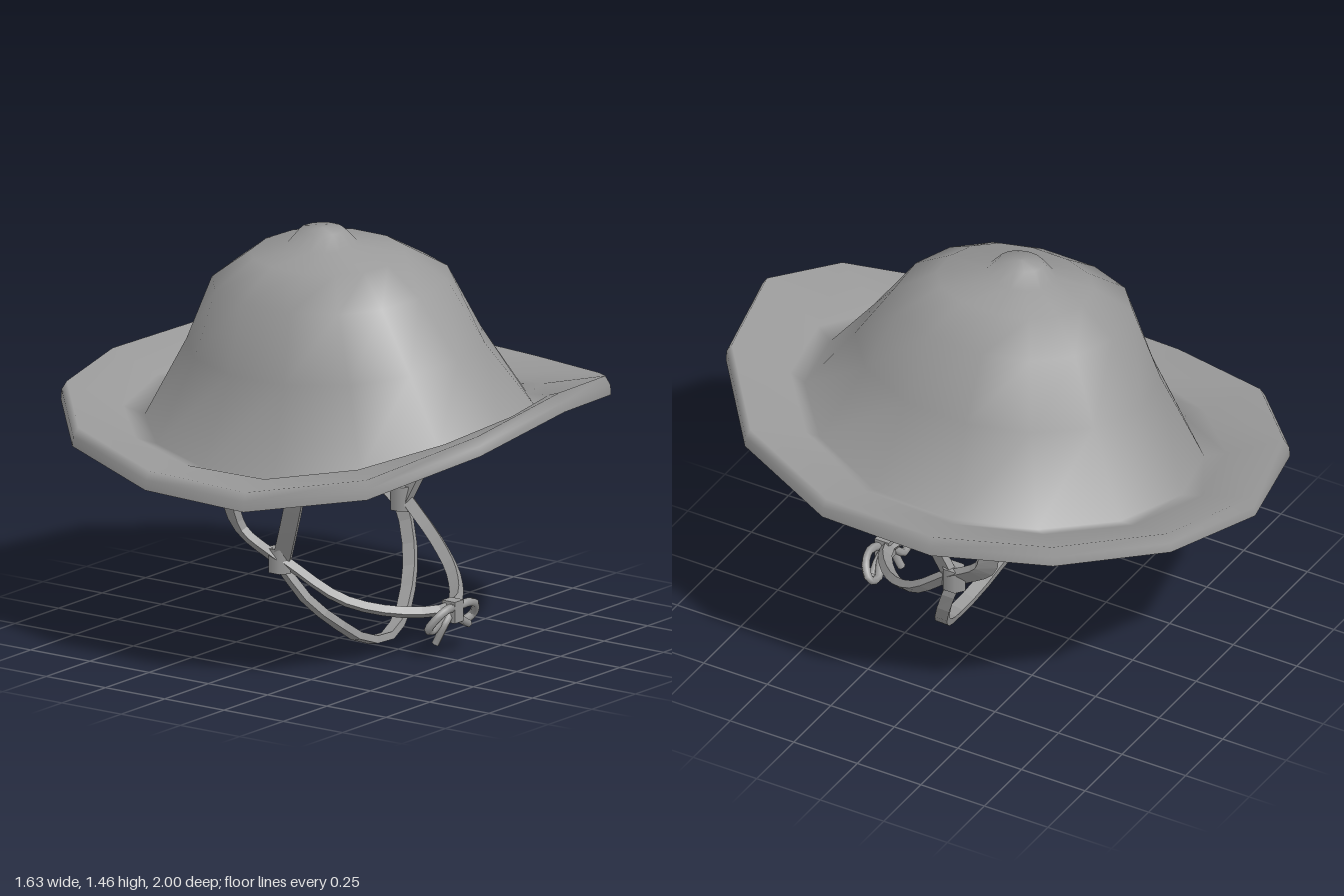
import * as THREE from 'three';

const felt = new THREE.MeshStandardMaterial({ color: 0x999999, side: THREE.DoubleSide });
felt.name = 'greyFelt';

// Brim outline: x, z and height of its top edge
const OUTLINE = [
  [0.03, -1.0, 0.86], [0.41, -0.89, 0.90], [0.69, -0.59, 0.905], [0.815, -0.18, 0.88],
  [0.79, 0.26, 0.87], [0.61, 0.67, 0.91], [0.31, 0.92, 1.0], [-0.06, 0.995, 1.03],
  [-0.40, 0.89, 0.93], [-0.67, 0.61, 0.79], [-0.82, 0.20, 0.715], [-0.80, -0.23, 0.72],
  [-0.66, -0.64, 0.78], [-0.36, -0.91, 0.84],
];
const TILT = 0.09;
const v = (x, y, z) => new THREE.Vector3(x, y, z);

const edge = (drop, scale) => OUTLINE.map(([x, z, y]) => v(x * scale, y - drop, z * scale));

// Tilted elliptical ring, optionally lifted at front and back; power under 1 squares it off
function ring(cx, cz, rx, rz, y, { front = 0, back = 0, power = 1 } = {}) {
  const bend = (c) => Math.sign(c) * Math.abs(c) ** power;
  return OUTLINE.map(([ox, oz]) => {
    const a = Math.atan2(oz, ox / 0.82), s = Math.sin(a);
    const x = cx + rx * bend(Math.cos(a));
    return v(x, y + TILT * x + (s > 0 ? front : back) * s * s, cz + rz * bend(s));
  });
}

// Skin between closed loops of points
function loft(rings) {
  const n = rings[0].length, index = [];
  for (let i = 0; i < rings.length - 1; i++) {
    for (let j = 0; j < n; j++) {
      const a = i * n + j, b = i * n + (j + 1) % n;
      index.push(a, a + n, b, b, a + n, b + n);
    }
  }
  const g = new THREE.BufferGeometry().setFromPoints(rings.flat());
  g.setIndex(index);
  g.computeVertexNormals();
  return g;
}

// Flat band following a path, its face turned away from the head
function band(points, width, thick, steps = 14) {
  const curve = new THREE.CatmullRomCurve3(points.map((p) => v(...p)));
  const rings = [];
  for (let i = 0; i <= steps; i++) {
    const p = curve.getPointAt(i / steps), t = curve.getTangentAt(i / steps);
    const side = t.clone().cross(p.clone().sub(v(0, 0.75, 0))).normalize();
    const out = side.clone().cross(t).normalize();
    const corner = (a, b) => p.clone().addScaledVector(side, a * width / 2).addScaledVector(out, b * thick / 2);
    const loop = [corner(1, 1), corner(-1, 1), corner(-1, -1), corner(1, -1)];
    if (i === 0) rings.push(loop.map(() => p.clone()));
    rings.push(loop);
    if (i === steps) rings.push(loop.map(() => p.clone()));
  }
  const g = loft(rings).toNonIndexed();
  g.computeVertexNormals();
  return g;
}

function cord(points, radius, closed = false) {
  const curve = new THREE.CatmullRomCurve3(points.map((p) => v(...p)), closed);
  return new THREE.TubeGeometry(curve, 18, radius, 6, closed);
}

export function createModel() {
  const model = new THREE.Group();
  model.name = 'hat';
  const add = (name, geometry, parent = model) => {
    const mesh = new THREE.Mesh(geometry, felt);
    mesh.name = name;
    parent.add(mesh);
    return mesh;
  };

  // Rolled rim and brim top running into the crown and its button
  add('crownAndBrim', loft([
    edge(0.065, 1),
    edge(0.03, 0.997),
    edge(0, 0.978),
    ring(0, -0.01, 0.635, 0.775, 0.765, { front: 0.15, back: 0.03 }),
    ring(0, 0.005, 0.58, 0.71, 0.745, { front: 0.13, back: 0.025 }),
    ring(-0.03, 0.01, 0.455, 0.54, 1.05, { front: 0.03 }),
    ring(-0.05, 0, 0.37, 0.405, 1.285, { power: 0.88 }),
    ring(-0.05, -0.01, 0.23, 0.27, 1.375, { power: 0.88 }),
    ring(-0.06, -0.025, 0.11, 0.125, 1.405),
    ring(-0.065, -0.025, 0.07, 0.08, 1.455),
    ring(-0.065, -0.025, 0, 0, 1.463),
  ]));

  // Underside sloping in to the lining
  const inner = ring(-0.02, 0, 0.42, 0.47, 0.95);
  add('brimUnderside', loft([
    inner,
    ring(0, 0, 0.575, 0.7, 0.715, { front: 0.145, back: 0.03 }),
    edge(0.065, 1),
  ]));
  add('crownLining', loft([
    ring(-0.05, 0, 0, 0, 1.345),
    ring(-0.05, 0, 0.2, 0.22, 1.335),
    ring(-0.05, 0, 0.34, 0.37, 1.26),
    inner,
  ]));

  // A forked pair of straps on each side, joined by a knot
  const sides = [
    { name: 'left', top: [0.435, 0.86], mid: [0.41, 0.62], knot: [0.385, 0.41] },
    { name: 'right', top: [-0.465, 0.83], mid: [-0.385, 0.56], knot: [-0.315, 0.34] },
  ];
  for (const { name, top, mid, knot } of sides) {
    const group = new THREE.Group();
    group.name = name + 'Straps';
    model.add(group);
    add('frontStrap', band([[...top, 0.195], [...mid, 0.09], [...knot, -0.01]], 0.06, 0.026), group);
    add('backStrap', band([[...top, -0.165], [mid[0], mid[1] - 0.03, -0.175],
      [(mid[0] + knot[0]) / 2, knot[1] + 0.09, -0.15], [...knot, -0.025]], 0.07, 0.026), group);
    const lump = add('strapKnot', new THREE.CylinderGeometry(0.04, 0.04, 0.085, 6), group);
    lump.scale.set(0.9, 1, 1.15);
    lump.position.set(knot[0], knot[1], -0.02);
  }

  // Chin strap and front tie
  add('chinStrap', band([[0.385, 0.41, -0.03], [0.385, 0.33, 0], [0.34, 0.205, 0.05], [0.2, 0.07, 0.12],
    [0.06, 0.017, 0.155], [-0.06, 0.035, 0.145], [-0.17, 0.11, 0.11], [-0.255, 0.2, 0.05],
    [-0.315, 0.34, -0.03]], 0.045, 0.026, 14));
  add('frontTie', band([[0.385, 0.41, 0], [0.355, 0.29, 0.15], [0.24, 0.21, 0.31], [0.04, 0.17, 0.435],
    [-0.1, 0.17, 0.37], [-0.24, 0.215, 0.2], [-0.315, 0.34, 0]], 0.04, 0.028, 20));

  // Bow
  const bow = new THREE.Group();
  bow.name = 'bow';
  bow.position.set(0.04, 0.16, 0.45);
  model.add(bow);
  add('bowKnot', new THREE.BoxGeometry(0.05, 0.075, 0.055), bow);
  for (const [name, s] of [['rightLoop', -0.8], ['leftLoop', 1]]) {
    add(name, cord([[0, 0, 0], [s * 0.06, 0.02, 0.02], [s * 0.115, 0, 0.01], [s * 0.14, -0.045, -0.02],
      [s * 0.1, -0.06, -0.03], [s * 0.05, -0.03, -0.01]], 0.015, true), bow);
  }
  add('rightTail', cord([[0, 0, 0], [-0.045, -0.04, 0], [-0.06, -0.11, -0.03]], 0.014), bow);
  add('leftTail', cord([[0, 0, 0], [0.04, -0.04, 0.01], [0.09, -0.065, 0.0]], 0.014), bow);
  return model;
}
